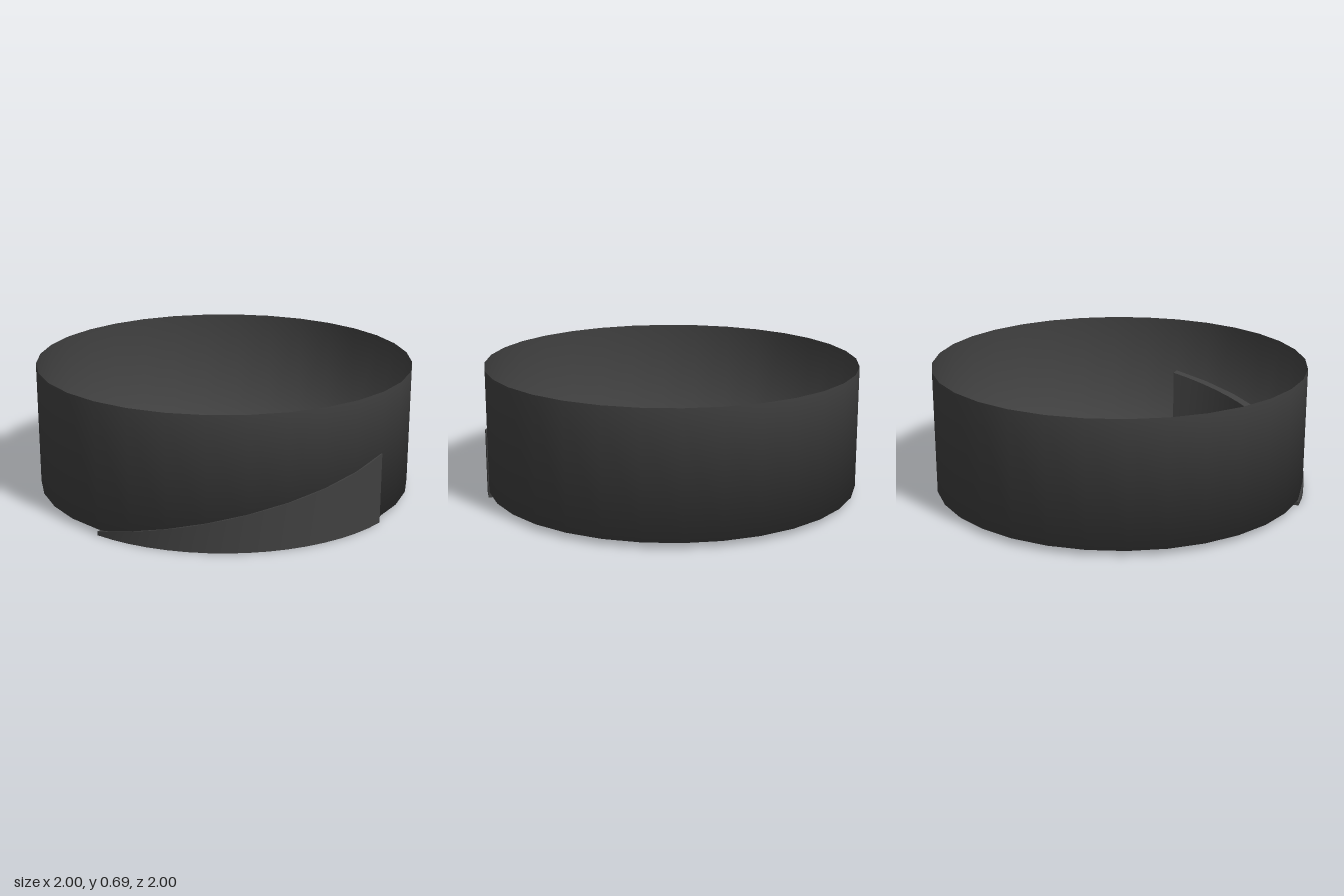
import * as THREE from 'three';
import { toCreasedNormals } from 'three/addons/utils/BufferGeometryUtils.js';

const charcoal = new THREE.MeshStandardMaterial({ color: 0x404040, side: THREE.DoubleSide });
charcoal.name = 'charcoal';

function part(name, geometry) {
  const mesh = new THREE.Mesh(geometry, charcoal);
  mesh.name = name;
  return mesh;
}

// Thin open tub: wall and floor share their rim vertices, so shading runs smoothly across the edge
function tubGeometry(radius, floorY, topY, sides) {
  const pos = [], nor = [], idx = [];
  for (let i = 0; i < sides; i++) {
    const a = (i / sides) * Math.PI * 2, s = Math.sin(a), c = Math.cos(a);
    pos.push(radius * s, floorY, radius * c, radius * s, topY, radius * c);
    nor.push(0.72 * s, -0.694, 0.72 * c, s, 0, c);
    const b = 2 * i, n = 2 * ((i + 1) % sides);
    idx.push(b, n, b + 1, n, n + 1, b + 1);
    if (i > 0 && i < sides - 1) idx.push(0, n, b);
  }
  const g = new THREE.BufferGeometry();
  g.setAttribute('position', new THREE.Float32BufferAttribute(pos, 3));
  g.setAttribute('normal', new THREE.Float32BufferAttribute(nor, 3));
  g.setIndex(idx);
  return g;
}

// Quarter-circle band whose top edge slopes down from the front to the side
function wedgeGeometry(inner, outer, highY, lowY, steps) {
  const pos = [], idx = [];
  for (let i = 0; i <= steps; i++) {
    const t = i / steps, a = t * Math.PI / 2, top = highY + (lowY - highY) * t;
    for (const [r, y] of [[inner, 0], [outer, 0], [outer, top], [inner, top]]) {
      pos.push(-r * Math.sin(a), y, r * Math.cos(a));
    }
    if (i === steps) break;
    for (let k = 0; k < 4; k++) {
      const p = 4 * i + k, q = 4 * i + (k + 1) % 4;
      idx.push(p, q, p + 4, q, q + 4, p + 4);
    }
  }
  const e = 4 * steps;
  idx.push(0, 2, 1, 0, 3, 2, e, e + 1, e + 2, e, e + 2, e + 3);
  const g = new THREE.BufferGeometry();
  g.setAttribute('position', new THREE.Float32BufferAttribute(pos, 3));
  g.setIndex(idx);
  return toCreasedNormals(g, 0.6);
}

// Flat round plate facing up or down
function disc(name, radius, y, up) {
  const g = new THREE.CircleGeometry(radius, 48);
  g.rotateX(up ? -Math.PI / 2 : Math.PI / 2);
  g.translate(0, y, 0);
  return part(name, g);
}

export function createModel() {
  const model = new THREE.Group();
  model.name = 'tub';
  const body = new THREE.Group();
  body.name = 'body';
  body.position.set(0.0025, 0, -0.0025);
  model.add(body);

  body.add(part('shell', tubGeometry(0.9975, 0.03, 0.69, 32)));
  body.add(part('slopedWedge', wedgeGeometry(0.94, 1.0025, 0.37, 0.02, 16)));

  // Central hub: rounded ring around a recessed plate
  const hub = new THREE.Group();
  hub.name = 'hub';
  const profile = [new THREE.Vector2(0.255, 0.015), new THREE.Vector2(0.255, 0.08)];
  for (let i = 0; i <= 10; i++) {
    const a = (i / 10) * Math.PI;
    profile.push(new THREE.Vector2(0.2 + 0.055 * Math.cos(a), 0.13 + 0.055 * Math.sin(a)));
  }
  hub.add(part('hubRing', new THREE.LatheGeometry(profile, 48)));
  hub.add(disc('hubPlate', 0.145, 0.13, true));
  hub.add(disc('hubBase', 0.255, 0.015, false));
  body.add(hub);

  return model;
}
